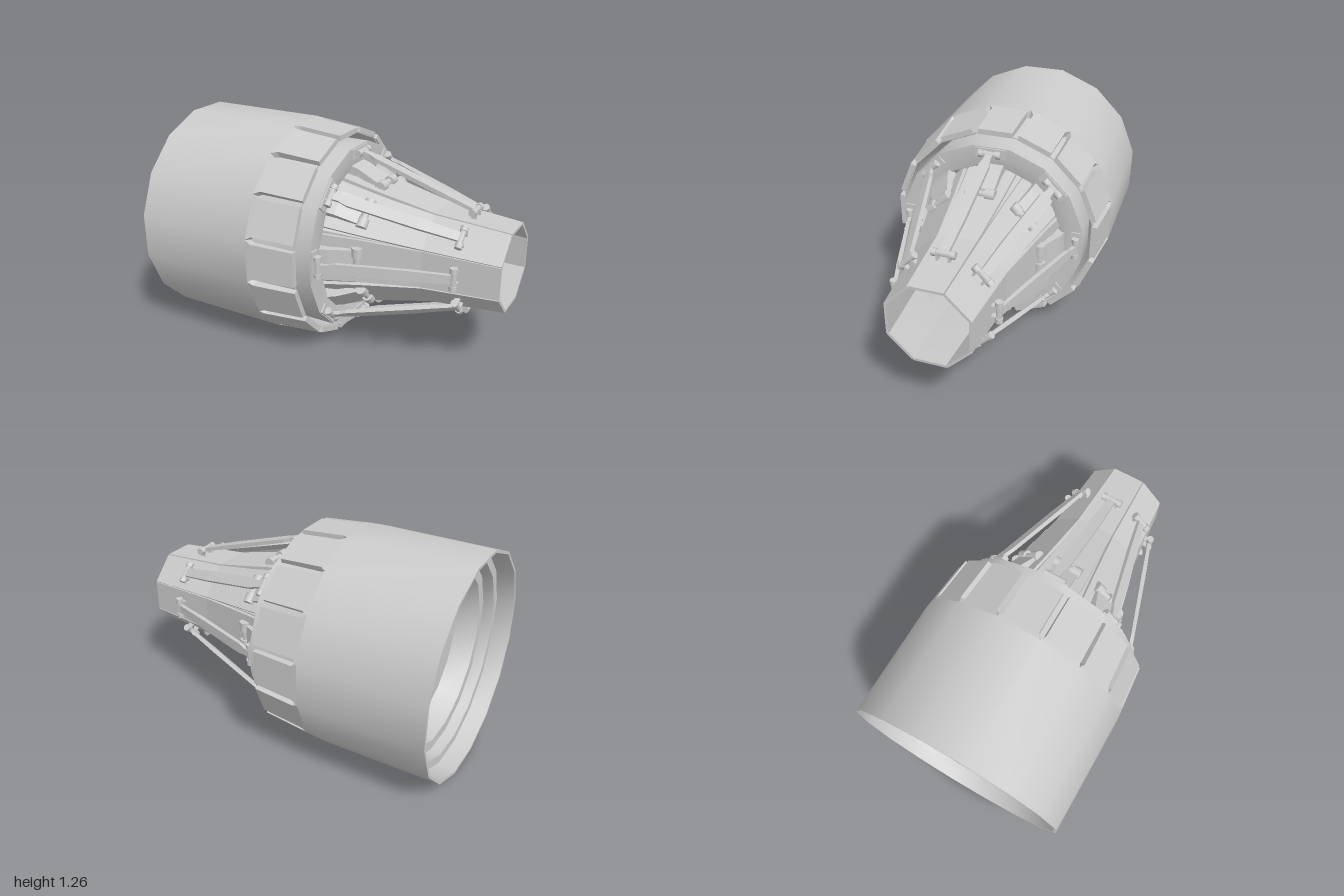
import * as THREE from 'three';
import { toCreasedNormals } from 'three/addons/utils/BufferGeometryUtils.js';

const grey = new THREE.MeshStandardMaterial({ color: 0xcccccc });
const greyDouble = new THREE.MeshStandardMaterial({ color: 0xcccccc, side: THREE.DoubleSide });

// The engine axis runs along x. In local space y is radial and z tangential.

// Polygonal body of revolution around x, from [x, apothem] points, with a flat side on top.
function revolve(points, sides) {
  const k = 1 / Math.cos(Math.PI / sides);
  const profile = points.map(([x, r]) => new THREE.Vector2(r * k, x));
  const geo = new THREE.LatheGeometry(profile, sides, Math.PI / sides).rotateZ(-Math.PI / 2);
  return geo;
}

// Solid bar through rectangular sections [x, inner radius, outer radius, half width].
function loft(stations) {
  const pos = [];
  const rings = stations.map(([x, lo, hi, w]) => [[x, hi, w], [x, hi, -w], [x, lo, -w], [x, lo, w]]);
  const quad = (a, b, c, d) => pos.push(...a, ...b, ...c, ...a, ...c, ...d);
  for (let s = 0; s < rings.length - 1; s++) {
    const a = rings[s], b = rings[s + 1];
    for (let i = 0; i < 4; i++) {
      const j = (i + 1) % 4;
      quad(a[i], b[i], b[j], a[j]);
    }
  }
  quad(...rings[0]);
  quad(...rings[rings.length - 1].slice().reverse());
  const geo = new THREE.BufferGeometry();
  geo.setAttribute('position', new THREE.Float32BufferAttribute(pos, 3));
  geo.computeVertexNormals();
  return geo;
}

function add(parent, name, geo, material = grey) {
  const mesh = new THREE.Mesh(geo, material);
  mesh.name = name;
  parent.add(mesh);
  return mesh;
}

// Cylinder lying along the tangent direction.
function pin(radius, length, x, r, z = 0) {
  return toCreasedNormals(new THREE.CylinderGeometry(radius, radius, length, 12), 0.7)
    .rotateX(Math.PI / 2).translate(x, r, z);
}

function block(sx, sy, sz, x, y, z) {
  return new THREE.BoxGeometry(sx, sy, sz).translate(x, y, z);
}

// Copies a part-building function evenly around the axis.
function around(parent, name, count, build) {
  for (let i = 0; i < count; i++) {
    const g = new THREE.Group();
    g.name = name;
    g.rotation.x = (i / count) * Math.PI * 2;
    build(g);
    parent.add(g);
  }
}

export function createModel() {
  const model = new THREE.Group();
  const engine = new THREE.Group();
  engine.name = 'engine';
  engine.position.y = 0.63;
  model.add(engine);

  // Housing: rear hub, stepped intake, outer wall, slot floor, collar, inner end wall
  const housing = revolve([
    [-0.81, 0], [-0.81, 0.09], [-0.72, 0.1], [-0.72, 0.43], [-0.84, 0.48], [-0.84, 0.54],
    [-0.9, 0.55], [-0.9, 0.6], [-1, 0.615], [-1, 0.63], [-0.285, 0.63], [-0.285, 0.592],
    [-0.01, 0.577], [-0.01, 0.57], [-0.12, 0.535], [0.065, 0.535], [0.065, 0.47],
    [0.05, 0.41], [0, 0.39], [-0.3, 0.37], [-0.3, 0],
  ], 16);
  add(engine, 'housing', toCreasedNormals(housing, 0.45));

  // Tapered plates separated by slots, widening into the housing at the back
  const plate = loft([
    [-0.29, 0.585, 0.63, 0.124], [-0.275, 0.585, 0.629, 0.12],
    [-0.26, 0.585, 0.628, 0.108], [-0.25, 0.585, 0.627, 0.104], [0, 0.575, 0.605, 0.1],
  ]);
  around(engine, 'edgePlate', 16, g => add(g, 'plate', plate));

  // Thin inner lining that shows in the gaps between the nozzle petals
  const lining = revolve([[0, 0.37], [0.24, 0.318], [0.58, 0.245], [0.995, 0.212]], 8);
  add(engine, 'nozzleLining', toCreasedNormals(lining, 0.45), greyDouble);

  // Nozzle petals
  const petal = loft([
    [0.02, 0.36, 0.385, 0.135], [0.24, 0.318, 0.335, 0.125],
    [0.58, 0.245, 0.263, 0.104], [1, 0.213, 0.228, 0.091],
  ]);
  around(engine, 'nozzlePetal', 8, g => add(g, 'petal', petal));

  // Actuators: sloped rod, its pins and lugs, hinge bracket and rollers
  const rodAt = (x, w, h = 0.011) => {
    const r = 0.505 - (x - 0.09) * 0.324;
    return [x, r - h, r + h, w];
  };
  const rod = loft([
    rodAt(0.09, 0.02), rodAt(0.14, 0.02), rodAt(0.18, 0.031),
    rodAt(0.55, 0.031, 0.013), rodAt(0.7, 0.026), rodAt(0.77, 0.024),
  ]);
  const bracket = loft([[0.03, 0.385, 0.44, 0.07], [0.1, 0.375, 0.42, 0.07], [0.22, 0.325, 0.36, 0.07]]);
  around(engine, 'actuator', 8, g => {
    add(g, 'rod', rod);
    add(g, 'mountPlate', block(0.012, 0.055, 0.18, 0.068, 0.502, 0));
    add(g, 'hingeBracket', bracket);
    add(g, 'rollerAxle', pin(0.018, 0.12, 0.24, 0.342));
    for (const [x, r] of [[0.09, 0.505], [0.77, 0.285]]) {
      add(g, 'rodPin', pin(0.016, 0.12, x, r));
      for (const s of [-1, 1]) add(g, 'pinCap', pin(0.021, 0.026, x, r, s * 0.05));
    }
    for (const s of [-1, 1]) {
      add(g, 'frontLug', block(0.035, 0.028, 0.012, 0.078, 0.505, s * 0.032));
      add(g, 'petalLug', block(0.03, 0.045, 0.012, 0.77, 0.263, s * 0.032));
      add(g, 'roller', pin(0.031, 0.055, 0.24, 0.342, s * 0.056));
    }
  });

  return model;
}
